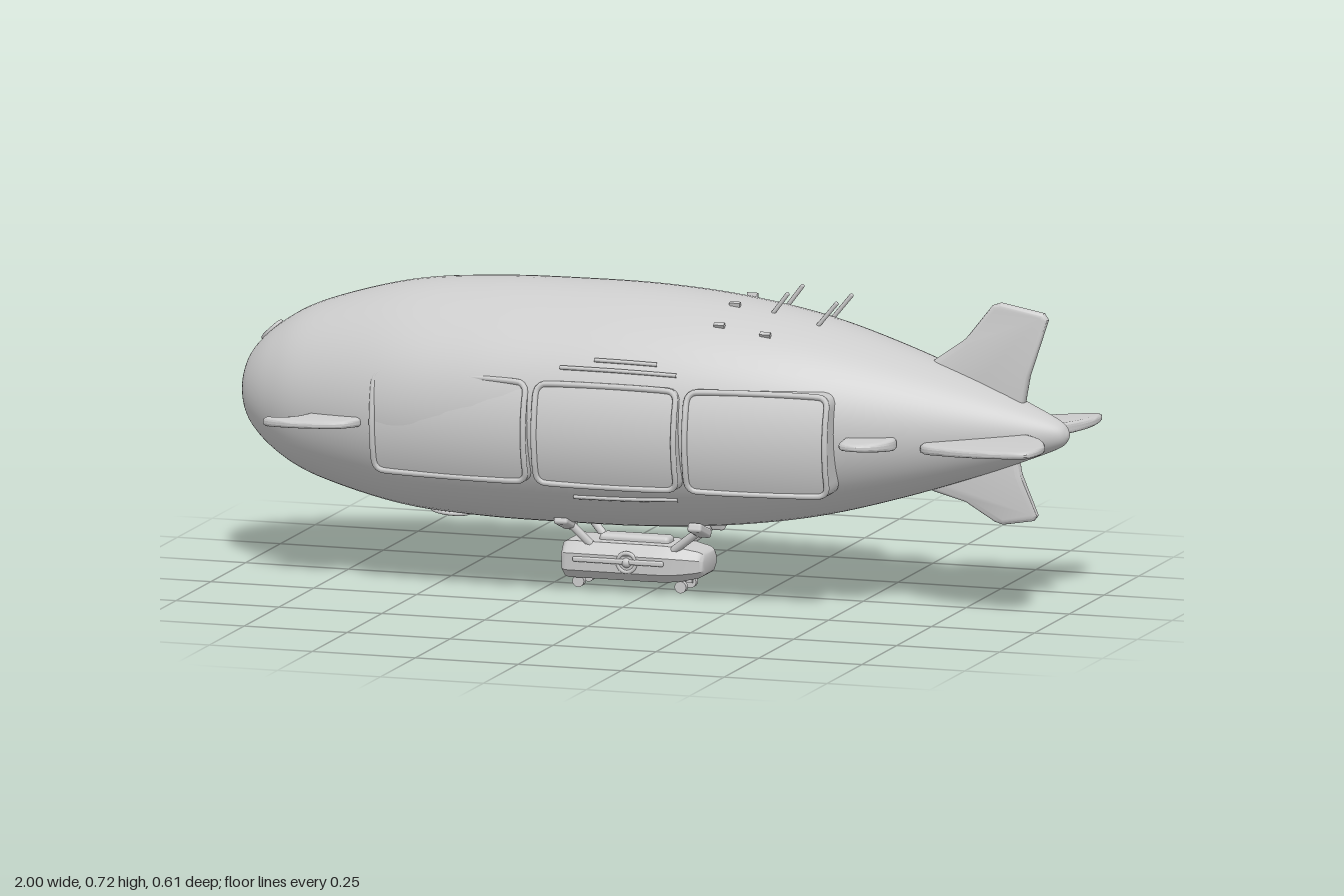
import * as THREE from 'three';
import { toCreasedNormals } from 'three/addons/utils/BufferGeometryUtils.js';
import { RoundedBoxGeometry } from 'three/addons/geometries/RoundedBoxGeometry.js';

const V2 = (x, y) => new THREE.Vector2(x, y);
const V3 = (x, y, z) => new THREE.Vector3(x, y, z);

// Hull outline: distance along x and radius, nose to tail
const hullProfile = new THREE.SplineCurve([
  [-1, 0], [-0.992, 0.05], [-0.965, 0.1], [-0.9, 0.157], [-0.8, 0.207], [-0.6, 0.26], [-0.4, 0.278],
  [-0.2, 0.282], [0, 0.28], [0.2, 0.265], [0.4, 0.232], [0.6, 0.176], [0.8, 0.106], [0.92, 0.058],
  [0.98, 0.03], [0.997, 0.012], [1, 0],
].map(([x, r]) => V2(r, x))).getPoints(96);
const centreY = (x) => 0.43 - 0.012 * x * x;
function hullRadius(x) {
  const i = Math.max(1, hullProfile.findIndex((p) => p.y >= x));
  const a = hullProfile[i - 1], b = hullProfile[i];
  return THREE.MathUtils.lerp(a.x, b.x, (x - a.y) / (b.y - a.y));
}
// Point on the hull; angle 0 is the top, positive towards +z
const onHull = (x, angle, lift = 0) => {
  const r = hullRadius(x) + lift;
  return V3(x, centreY(x) + r * Math.cos(angle), r * Math.sin(angle));
};

function deform(g, rule) {
  const p = g.attributes.position, v = V3(0, 0, 0);
  for (let i = 0; i < p.count; i++) {
    v.fromBufferAttribute(p, i);
    rule(v);
    p.setXYZ(i, v.x, v.y, v.z);
  }
  return g;
}

// Mirror across z = 0 and restore the winding
function mirrorZ(g) {
  const m = (g.index ? g.toNonIndexed() : g.clone()).scale(1, 1, -1);
  const idx = [];
  for (let i = 0; i < m.attributes.position.count; i += 3) idx.push(i, i + 2, i + 1);
  m.setIndex(idx);
  return m;
}

export function createModel() {
  const model = new THREE.Group();
  const grey = new THREE.MeshStandardMaterial({ color: 0xcccccc });
  const add = (name, g) => {
    const mesh = new THREE.Mesh(g, grey);
    mesh.name = name;
    model.add(mesh);
  };
  const addPair = (name, g) => {
    add(name + 'Left', g);
    add(name + 'Right', mirrorZ(g));
  };
  const addRod = (name, a, b, r) => {
    addPair(name, new THREE.TubeGeometry(new THREE.LineCurve3(a, b), 1, r, 8));
    for (const p of [a, b]) addPair(name + 'End', new THREE.SphereGeometry(r, 8, 6).translate(p.x, p.y, p.z));
  };

  // Envelope
  const hull = new THREE.LatheGeometry(hullProfile.map((p) => V2(Math.max(p.x, 0), p.y)), 64);
  hull.rotateZ(-Math.PI / 2);
  add('hull', deform(hull, (v) => { v.y += centreY(v.x); }));

  // Fins: outline in the x / span plane, bevelled and thinned towards the tip
  function finGeometry(pts, thick, root, tip, curved) {
    const list = pts.map(([x, y]) => V2(x, y));
    const shape = new THREE.Shape(curved ? new THREE.SplineCurve(list).getPoints(28) : list);
    const g = new THREE.ExtrudeGeometry(shape, {
      depth: thick * 0.3, bevelThickness: thick * 0.35, bevelSize: 0.012, bevelOffset: -0.012, bevelSegments: 3,
    });
    g.translate(0, 0, -thick * 0.15);
    deform(g, (v) => { v.z *= THREE.MathUtils.lerp(1, 0.55, THREE.MathUtils.clamp((v.y - root) / (tip - root), 0, 1)); });
    return toCreasedNormals(g, 0.7);
  }
  add('upperTailFin', finGeometry([[0.6, 0.53], [0.67, 0.573], [0.75, 0.63], [0.815, 0.712], [0.835, 0.719], [0.94, 0.7],
    [0.95, 0.685], [0.905, 0.55], [0.885, 0.44], [0.7, 0.44]], 0.034, 0.52, 0.71));
  add('lowerTailFin', finGeometry([[0.6, 0.31], [0.66, 0.272], [0.75, 0.248], [0.82, 0.206], [0.84, 0.2], [0.915, 0.213],
    [0.925, 0.226], [0.885, 0.32], [0.87, 0.4], [0.7, 0.4]], 0.032, 0.34, 0.2));
  // Lay a fin flat at height y, rising along x by the slope
  const flat = (g, y, slope, x0) => deform(g.rotateX(Math.PI / 2), (v) => { v.y += y + slope * (v.x - x0); });
  addPair('sideTailFin', flat(finGeometry([[0.7, 0.05], [0.69, 0.155], [0.75, 0.2], [0.83, 0.237], [0.92, 0.262], [0.98, 0.268],
    [0.999, 0.235], [0.998, 0.17], [0.965, 0.1], [0.9, 0.03]], 0.03, 0.07, 0.27, true), 0.406, 0.07, 0.85));
  addPair('frontFin', flat(finGeometry([[-0.66, 0.18], [-0.635, 0.24], [-0.655, 0.288], [-0.69, 0.304], [-0.78, 0.298],
    [-0.86, 0.265], [-0.865, 0.247], [-0.8, 0.238], [-0.76, 0.18]], 0.03, 0.2, 0.3, true), 0.392, 0.05, -0.7));
  addPair('rearSideFin', flat(finGeometry([[0.52, 0.14], [0.52, 0.235], [0.545, 0.258], [0.58, 0.257], [0.62, 0.228],
    [0.64, 0.18], [0.62, 0.13]], 0.03, 0.18, 0.26, true), 0.406, 0, 0));

  // Side panels: rounded plates bent to the hull, each with a raised rim
  const bend = (v) => {
    v.z += 0.299 - 0.13 * (v.x + 0.08) ** 2 - 0.026 * (v.y / 0.12) ** 2;
    v.y += 0.4;
  };
  for (const [x0, x1] of [[-0.612, -0.222], [-0.208, 0.142], [0.156, 0.497]]) {
    const w = (x1 - x0) / 2, h = 0.122, r = 0.028, cx = (x0 + x1) / 2;
    const plate = new THREE.BoxGeometry(2 * w, 2 * h, 0.065, 24, 20, 1).translate(0, 0, -0.0375);
    deform(plate, (v) => {
      const dx = Math.abs(v.x) - (w - r), dy = Math.abs(v.y) - (h - r), d = Math.hypot(dx, dy);
      if (dx > 0 && dy > 0 && d > r) {
        v.x = Math.sign(v.x) * (w - r + dx * r / d);
        v.y = Math.sign(v.y) * (h - r + dy * r / d);
      }
      v.x += cx;
      bend(v);
    });
    addPair('sidePanel', toCreasedNormals(plate, 0.7));

    const outline = [];
    for (let k = 0; k < 4; k++) {
      const sx = k === 0 || k === 3 ? 1 : -1, sy = k < 2 ? 1 : -1;
      for (let j = 0; j <= 4; j++) {
        const a = (k + j / 4) * Math.PI / 2;
        outline.push(V3(cx + sx * (w - r) + (r - 0.006) * Math.cos(a), sy * (h - r) + (r - 0.006) * Math.sin(a), -0.003));
      }
      // extra points let the upright sides follow the bend
      if (k % 2) for (const t of [-0.5, 0, 0.5]) outline.push(V3(cx + sx * (w - 0.006), -sy * t * h, -0.003));
    }
    outline.forEach(bend);
    const rim = new THREE.CatmullRomCurve3(outline, true, 'centripetal');
    addPair('panelRim', new THREE.TubeGeometry(rim, 120, 0.007, 8, true));
  }

  // Thin rails above and below the middle panel
  for (const [x0, x1, angle] of [[-0.07, 0.08, 1.04], [-0.15, 0.13, 1.12], [-0.13, 0.12, 2.28]]) {
    const pts = [0, 0.5, 1].map((t) => onHull(x0 + t * (x1 - x0), angle, 0.002));
    addPair('sideRail', new THREE.TubeGeometry(new THREE.CatmullRomCurve3(pts), 12, 0.005, 6));
  }

  // Aerials and small lugs on the back
  addRod('aerial', V3(0.29, 0.66, 0.054), V3(0.334, 0.718, 0.054), 0.005);
  addRod('aerial', V3(0.405, 0.645, 0.054), V3(0.453, 0.703, 0.054), 0.005);
  for (const [x, a] of [[0.2, 0.58], [0.31, 0.6], [0.21, 0.24]]) {
    const p = onHull(x, a, 0.002);
    addPair('lug', new THREE.BoxGeometry(0.025, 0.012, 0.01).rotateX(a).translate(p.x, p.y, p.z));
  }

  // Nose ring and belly hatch ring
  const nose = onHull(-0.935, 0);
  add('noseRing', new THREE.TorusGeometry(0.02, 0.006, 8, 24).rotateX(Math.PI / 2).scale(1.3, 1, 0.8).rotateZ(0.75).translate(nose.x, nose.y, 0));
  const belly = onHull(-0.5, Math.PI);
  add('bellyHatch', new THREE.TorusGeometry(0.045, 0.005, 8, 32).rotateX(Math.PI / 2).rotateZ(-0.1).translate(belly.x, belly.y, 0));

  // Gondola body: chamfered section, tapered towards the rear
  const section = new THREE.Shape([[-0.05, 0.024], [0.05, 0.024], [0.074, 0.045], [0.076, 0.085], [0.056, 0.111],
    [-0.056, 0.111], [-0.076, 0.085], [-0.074, 0.045]].map(([z, y]) => V2(z, y)));
  const body = new THREE.ExtrudeGeometry(section, {
    depth: 0.31, steps: 8, bevelThickness: 0.015, bevelSize: 0.012, bevelOffset: -0.012, bevelSegments: 3,
  });
  body.rotateY(Math.PI / 2).translate(-0.197, 0, 0);
  deform(body, (v) => {
    const t = Math.max(0, (v.x - 0.02) / 0.11);
    v.y = 0.07 + (v.y - 0.07) * (1 - 0.4 * t * t);
    v.z *= 1 - 0.3 * t * t;
  });
  add('gondola', toCreasedNormals(body, 0.6));
  add('gondolaRoof', new RoundedBoxGeometry(0.17, 0.024, 0.048, 3, 0.01).translate(-0.05, 0.113, 0));

  // Gondola trim, wheels and engine hubs
  addPair('gondolaSideRail', new RoundedBoxGeometry(0.22, 0.012, 0.012, 2, 0.004).translate(-0.07, 0.072, 0.075));
  addPair('engineHub', new THREE.TorusGeometry(0.022, 0.005, 8, 24).translate(-0.05, 0.07, 0.073));
  addPair('hubCap', new THREE.SphereGeometry(0.012, 12, 8).translate(-0.05, 0.07, 0.073));
  for (const x of [-0.178, 0.07]) {
    addPair('wheel', new THREE.CylinderGeometry(0.014, 0.014, 0.014, 16).rotateX(Math.PI / 2).translate(x, 0.014, 0.036));
    addPair('wheelLeg', new THREE.BoxGeometry(0.014, 0.03, 0.008).translate(x, 0.028, 0.026));
  }

  // Struts and their hull pads
  for (const [xa, xb] of [[-0.14, -0.195], [0.055, 0.13]]) {
    addRod('strut', V3(xa, 0.1, 0.05), V3(xb, 0.158, 0.066), 0.01);
    addPair('strutPad', new RoundedBoxGeometry(0.034, 0.022, 0.085, 2, 0.007).rotateX(-0.34).translate(xb, 0.158, 0.082));
  }
  return model;
}
